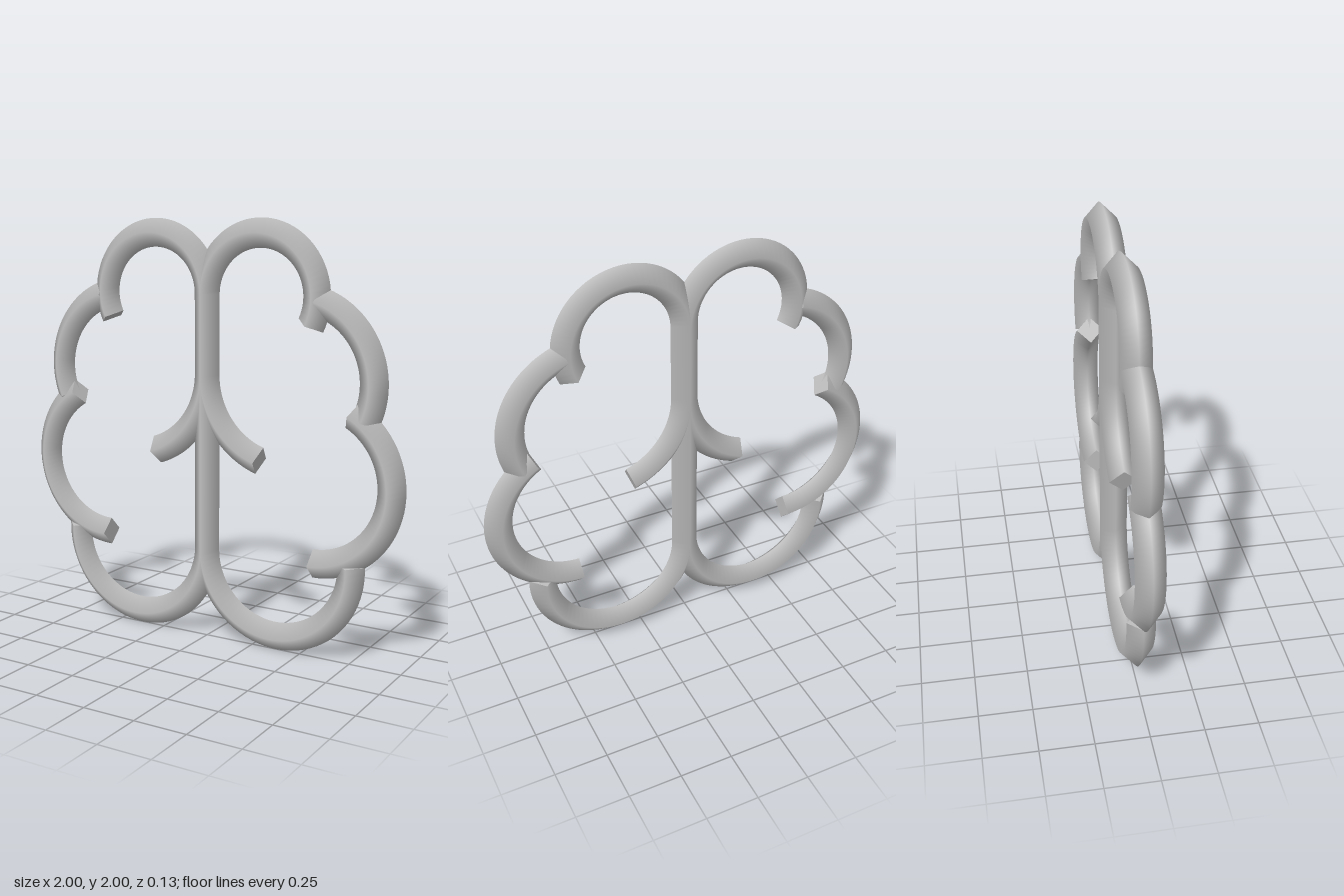
import * as THREE from 'three';
import { mergeGeometries } from 'three/addons/utils/BufferGeometryUtils.js';

const R = 0.067; // half width of the diamond-section bar

// Circular arc in the XY plane, angles in degrees
class PlanarArc extends THREE.Curve {
  constructor(cx, cy, radius, from, to, side) {
    super();
    Object.assign(this, { cx, cy, radius, from, to, side });
  }
  getPoint(t, target = new THREE.Vector3()) {
    const a = THREE.MathUtils.degToRad(this.from + (this.to - this.from) * t);
    return target.set(
      this.side * (this.cx + this.radius * Math.cos(a)),
      this.cy + this.radius * Math.sin(a), 0);
  }
}

// Flat diamond closing one end of a bar
function endCap(curve, t) {
  const out = curve.getTangentAt(t).multiplyScalar(t === 0 ? -1 : 1);
  const x = new THREE.Vector3(0, 0, 1);
  const y = new THREE.Vector3().crossVectors(out, x);
  const cap = new THREE.CircleGeometry(R, 4);
  cap.applyMatrix4(new THREE.Matrix4().makeBasis(x, y, out).setPosition(curve.getPointAt(t)));
  return cap;
}

// Four-sided bar with smooth normals and flat ends
function bar(name, curve, segments, material) {
  const tube = new THREE.TubeGeometry(curve, segments, R, 4, false);
  const mesh = new THREE.Mesh(mergeGeometries([tube, endCap(curve, 0), endCap(curve, 1)]), material);
  mesh.name = name;
  return mesh;
}

export function createModel() {
  const model = new THREE.Group();
  model.name = 'brainOutline';
  const grey = new THREE.MeshStandardMaterial({ color: 0xc0c0c0 });
  grey.name = 'light grey';

  // Straight bar between the two halves
  model.add(bar('centreStem', new THREE.LineCurve3(
    new THREE.Vector3(0, 0.442, 0), new THREE.Vector3(0, 1.653, 0)), 1, grey));

  // name, centre x, centre y, radius, start angle, end angle
  const arcs = [
    ['TopLobe', 0.28, 1.653, 0.28, 180, -26],
    ['UpperSideLobe', 0.468, 1.28, 0.37, 74, -25],
    ['LowerSideLobe', 0.56, 0.82, 0.373, 61, -90],
    ['BottomLobe', 0.375, 0.442, 0.375, 180, 363],
    ['InnerBranch', 0.405, 1.28, 0.405, 180, 252],
  ];
  for (const [side, label] of [[1, 'left'], [-1, 'right']]) {
    for (const [name, ...arc] of arcs) {
      model.add(bar(label + name, new PlanarArc(...arc, side), 40, grey));
    }
  }
  return model;
}
